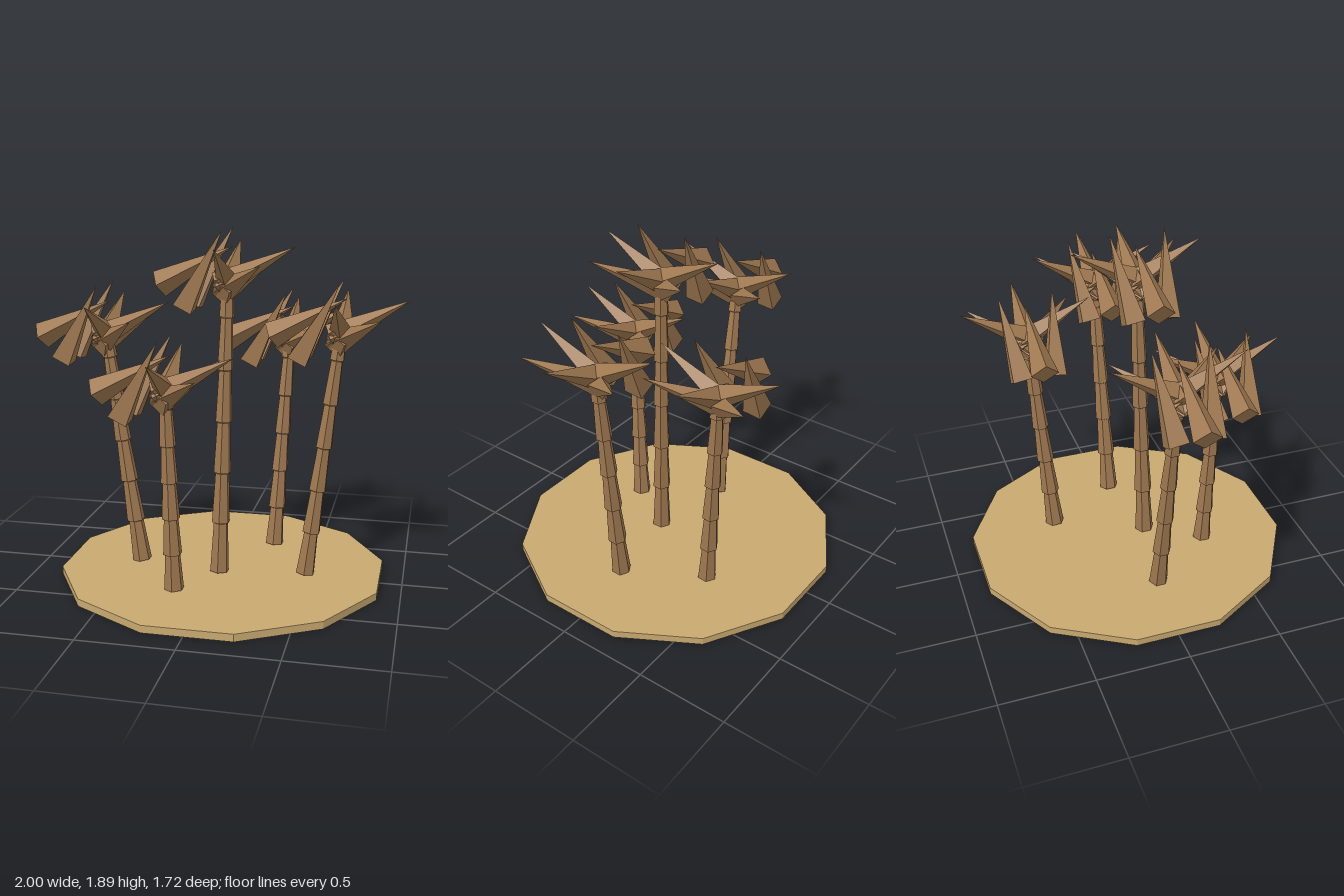
import * as THREE from 'three';

const UP = new THREE.Vector3(0, 1, 0);
const sand = new THREE.MeshStandardMaterial({ color: 0xc8a870, flatShading: true });
const bark = new THREE.MeshStandardMaterial({ color: 0x9f7850, flatShading: true });

// Tapered solid running from point a to point b
function taper(name, a, b, rBottom, rTop, sides, twist = 0) {
  const dir = b.clone().sub(a);
  const geo = new THREE.CylinderGeometry(rTop, rBottom, dir.length(), sides);
  geo.rotateY(twist);
  const mesh = new THREE.Mesh(geo, bark);
  mesh.name = name;
  mesh.position.copy(a).lerp(b, 0.5);
  mesh.quaternion.setFromUnitVectors(UP, dir.normalize());
  return mesh;
}

const v = (x, y, z) => new THREE.Vector3(x, y, z);

// Fronds as [broad end, tip, twist], relative to the crown centre
const fronds = [
  [v(-0.05, -0.035, 0), v(0.35, 0.17, 0), 0],
  [v(-0.365, -0.035, 0), v(0.03, 0.17, 0), 0],
];
for (const s of [-1, 1]) {
  fronds.push([v(0, -0.03, -0.05 * s), v(0, 0.18, 0.35 * s), 0]);
  fronds.push([v(-0.03, -0.07, -0.04 * s), v(0.22, 0.1, 0.29 * s), Math.PI / 4]);
  fronds.push([v(-0.21, -0.14, 0.09 * s), v(0, 0.26, 0.145 * s), Math.PI / 4]);
}

function palm(base, crownAt, step) {
  const tree = new THREE.Group();
  tree.name = 'palmTree';

  // Trunk: five flared segments and a short neck inside the crown
  const trunk = new THREE.Group();
  trunk.name = 'trunk';
  const at = (y) => base.clone().lerp(crownAt, (y - base.y) / (crownAt.y - base.y));
  for (let i = 0; i < 6; i++) {
    const y0 = base.y + i * step;
    const y1 = i < 5 ? y0 + step * 0.98 : crownAt.y;
    const r = 0.053 - 0.0024 * i;
    trunk.add(taper('trunkSegment', at(y0), at(y1), r, r * 0.76, 6));
  }
  tree.add(trunk);

  // Crown of four-sided fronds
  const crown = new THREE.Group();
  crown.name = 'crown';
  crown.position.copy(crownAt);
  for (const [broad, tip, twist] of fronds) {
    crown.add(taper('frond', broad, tip, 0.073, 0, 4, twist));
  }
  tree.add(crown);
  return tree;
}

export function createModel() {
  const model = new THREE.Group();
  model.name = 'palmIsland';

  // Ground disc with twelve sides
  const disc = new THREE.CylinderGeometry(0.89, 0.89, 0.04, 12);
  disc.rotateY(Math.PI / 12);
  const island = new THREE.Mesh(disc, sand);
  island.name = 'island';
  island.position.set(0.02, 0.02, 0);
  model.add(island);

  // Trees: base, crown centre, segment spacing
  const trees = [
    [v(-0.44, 0.045, 0.03), v(-0.615, 1.33, 0.05), 0.23],
    [v(-0.16, 0.045, 0.40), v(-0.185, 1.12, 0.44), 0.195],
    [v(0.02, 0.045, 0.11), v(0.055, 1.63, 0.07), 0.278],
    [v(0.245, 0.045, -0.37), v(0.305, 1.26, -0.46), 0.218],
    [v(0.48, 0.045, 0.04), v(0.64, 1.37, 0.015), 0.235],
  ];
  for (const [base, crownAt, step] of trees) model.add(palm(base, crownAt, step));
  return model;
}
